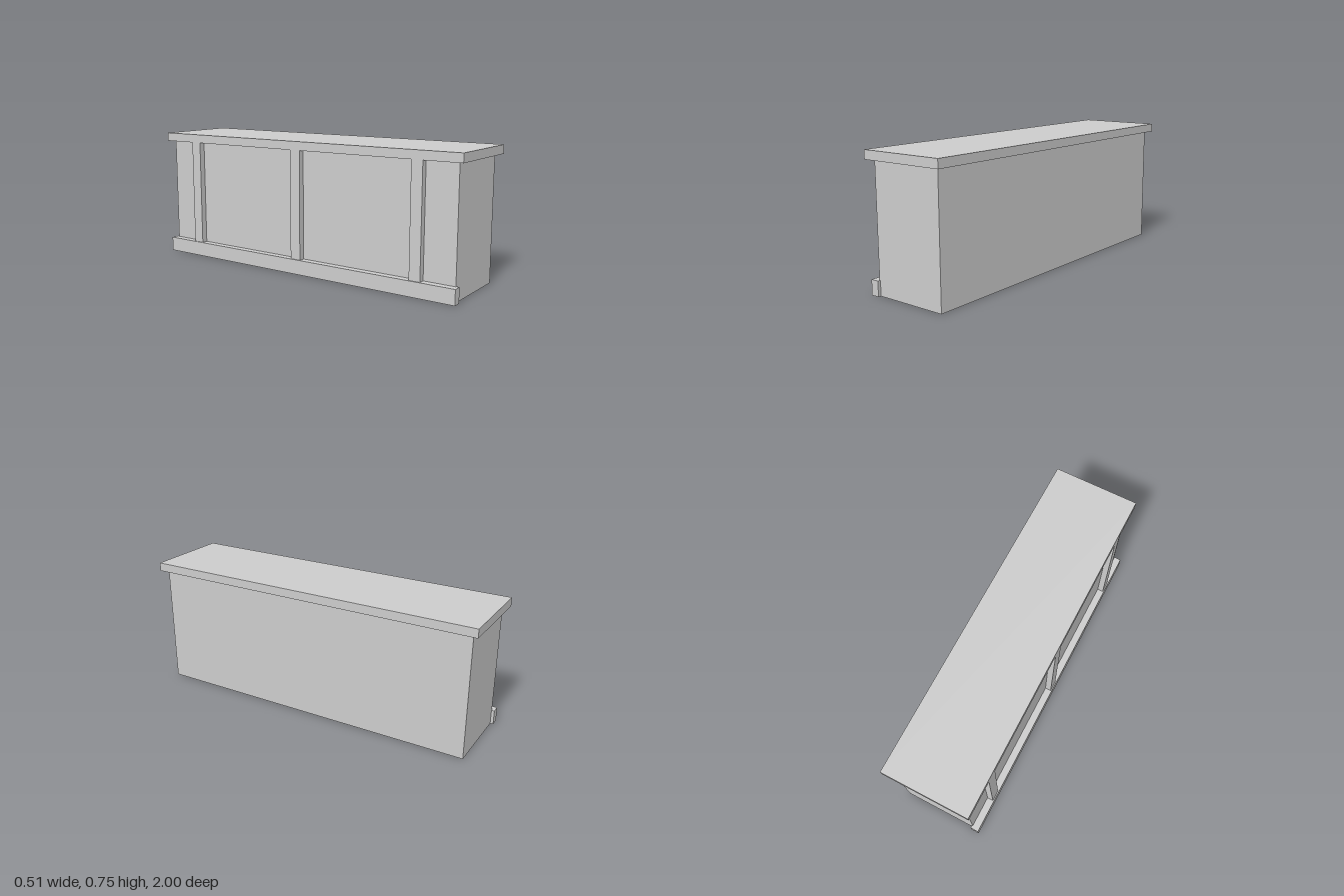
import * as THREE from 'three';

export function createModel() {
  const group = new THREE.Group();
  const paleGrey = new THREE.MeshStandardMaterial({ color: 0xcccccc });
  paleGrey.name = 'paleGrey';

  // Box given by its lower and upper limits on each axis
  const addBox = (name, [x0, x1], [y0, y1], [z0, z1]) => {
    const mesh = new THREE.Mesh(new THREE.BoxGeometry(x1 - x0, y1 - y0, z1 - z0), paleGrey);
    mesh.position.set((x0 + x1) / 2, (y0 + y1) / 2, (z0 + z1) / 2);
    mesh.name = name;
    group.add(mesh);
  };

  // Counter body and overhanging top
  addBox('body', [-0.212, 0.219], [0, 0.701], [-0.966, 0.966]);
  addBox('counterTop', [-0.247, 0.254], [0.701, 0.75], [-1, 1]);

  // Skirting along one long side, wrapping slightly past both ends
  addBox('skirting', [-0.254, -0.206], [0, 0.084], [-0.983, 0.983]);

  // Three upright battens between skirting and top
  for (const z of [-0.754, 0, 0.754]) {
    addBox('batten', [-0.247, -0.212], [0.084, 0.701], [z - 0.032, z + 0.032]);
  }

  return group;
}
